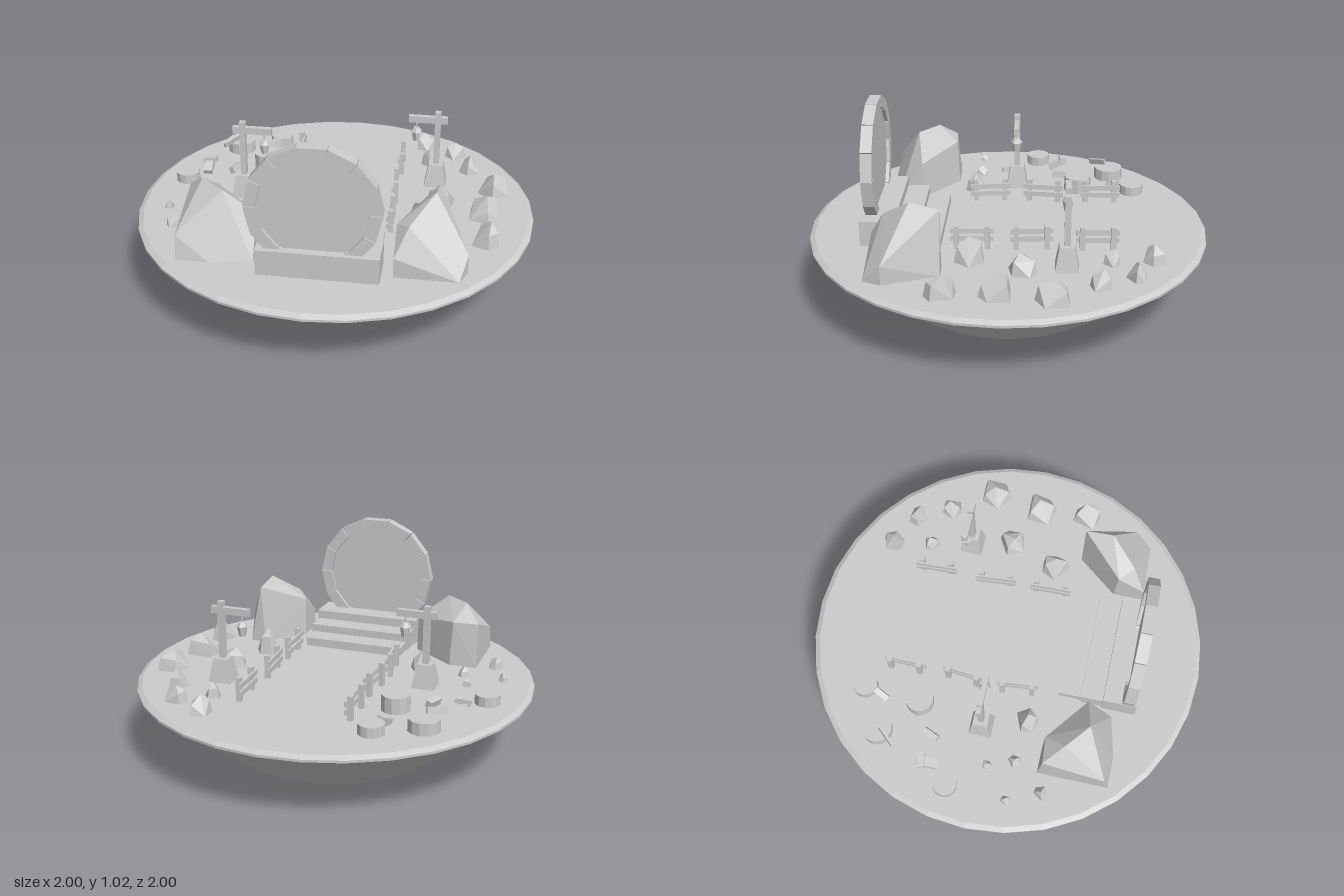
import * as THREE from 'three';
import { ConvexGeometry } from 'three/addons/geometries/ConvexGeometry.js';

const GROUND = 0.37;
const mat = new THREE.MeshStandardMaterial({ color: 0xcccccc, flatShading: true });
const openMat = new THREE.MeshStandardMaterial({ color: 0xcccccc, flatShading: true, side: THREE.DoubleSide });

function add(parent, name, geometry, x = 0, y = 0, z = 0, material = mat) {
  const mesh = new THREE.Mesh(geometry, material);
  mesh.name = name;
  mesh.position.set(x, y, z);
  parent.add(mesh);
  return mesh;
}
const box = (w, h, d) => new THREE.BoxGeometry(w, h, d);
const hull = (pts) => new ConvexGeometry(pts.map((p) => new THREE.Vector3(...p)));
const lathe = (pts, sides) => new THREE.LatheGeometry(pts.map((p) => new THREE.Vector2(...p)), sides);

// Small repeatable random numbers for the loose rocks
let seed = 7;
function rand(a, b) {
  seed = (seed * 16807) % 2147483647;
  return a + (b - a) * (seed / 2147483647);
}

// Faceted stone: wide base ring, narrower shoulder ring and an off-centre peak
function stone(r, h) {
  const pts = [];
  const turn = rand(0, 6);
  for (let i = 0; i < 5; i++) {
    const a = turn + (i / 5) * Math.PI * 2 + rand(-0.25, 0.25);
    const k = r * rand(0.85, 1.1);
    pts.push([k * Math.cos(a), 0, k * Math.sin(a)]);
    if (i % 2 === 0) pts.push([k * 0.8 * Math.cos(a), h * rand(0.5, 0.75), k * 0.8 * Math.sin(a)]);
  }
  pts.push([r * rand(-0.25, 0.25), h, r * rand(-0.25, 0.25)]);
  return hull(pts);
}

// Fence panel: two rails along z with posts on the outer side
function fence(parent, x, z, side, turn) {
  const g = new THREE.Group();
  g.name = 'fence';
  g.position.set(x, GROUND, z);
  g.rotation.y = turn;
  for (const y of [0.045, 0.085]) add(g, 'fenceRail', box(0.01, 0.026, 0.21), 0, y, 0);
  for (const pz of [-0.075, 0.075]) add(g, 'fencePost', box(0.025, 0.12, 0.026), side * 0.016, 0.06, pz);
  parent.add(g);
}

// Lamp post: tapered stone foot, post, arm and hanging lantern; dir points the arm along x
function lampPost(parent, x, z, dir) {
  const g = new THREE.Group();
  g.name = 'lampPost';
  g.position.set(x, GROUND, z);
  const foot = new THREE.CylinderGeometry(0.052, 0.08, 0.12, 4).rotateY(Math.PI / 4);
  add(g, 'lampFoot', foot, 0, 0.06, 0);
  add(g, 'lampPole', box(0.03, 0.4, 0.03), 0, 0.21, 0);
  add(g, 'lampArm', box(0.2, 0.035, 0.026), dir * 0.05, 0.365, 0);
  add(g, 'lanternHook', box(0.008, 0.05, 0.008), dir * 0.11, 0.33, 0);
  add(g, 'lanternCap', new THREE.CylinderGeometry(0.016, 0.031, 0.022, 6), dir * 0.11, 0.305, 0);
  add(g, 'lanternBody', new THREE.CylinderGeometry(0.026, 0.017, 0.05, 6), dir * 0.11, 0.269, 0);
  parent.add(g);
}

export function createModel() {
  const model = new THREE.Group();
  model.name = 'islandWithPortal';

  // Island: open-bottomed tapering bowl with a bevelled rim and flat ground
  add(model, 'island', lathe([
    [0.532, 0], [0.97, 0.325], [1, 0.344], [1, 0.356], [0.975, GROUND], [0, GROUND],
  ], 32), 0, 0, 0, openMat);

  // Steps rising towards the portal: centre x, width, height, back z, front z
  const steps = [
    [0.02, 0.53, 0.045, 0.315, 0.43],
    [0.02, 0.55, 0.085, 0.427, 0.545],
    [0.02, 0.57, 0.13, 0.54, 0.71],
  ];
  for (const [x, w, h, z0, z1] of steps) {
    add(model, 'step', box(w, h, z1 - z0), x, GROUND + h / 2, (z0 + z1) / 2);
  }

  // Portal: ring of fourteen stone blocks around a thin disc
  const portal = new THREE.Group();
  portal.name = 'portal';
  portal.position.set(0, 0.71, 0.66);
  const n = 14, half = Math.PI / n - 0.006;
  for (let i = 0; i < n; i++) {
    const s = Math.sin(half), c = Math.cos(half);
    const shape = new THREE.Shape([[-0.257, -1], [-0.257, 1], [-0.315, 1], [-0.315, -1]]
      .map(([r, k]) => new THREE.Vector2(k * r * s, -r * c)));
    const block = new THREE.ExtrudeGeometry(shape, { depth: 0.056, bevelEnabled: false });
    block.translate(0, 0, -0.028);
    add(portal, 'portalBlock', block).rotation.z = (i / n) * Math.PI * 2;
  }
  const disc = new THREE.CylinderGeometry(0.265, 0.265, 0.02, 28).rotateX(Math.PI / 2);
  add(portal, 'portalDisc', disc);
  model.add(portal);

  // Two boulders flanking the portal
  add(model, 'rightBoulder', hull([
    [-0.66, GROUND, 0.29], [-0.66, GROUND, 0.645], [-0.5, GROUND, 0.645], [-0.3, GROUND, 0.6],
    [-0.3, GROUND, 0.46], [-0.52, GROUND, 0.29], [-0.66, 0.6, 0.31], [-0.575, 0.68, 0.4],
    [-0.455, 0.68, 0.5], [-0.3, 0.555, 0.47], [-0.66, 0.49, 0.62], [-0.53, 0.6, 0.3],
  ]));
  add(model, 'leftBoulder', hull([
    [0.36, GROUND, 0.64], [0.36, GROUND, 0.49], [0.52, GROUND, 0.29], [0.6, GROUND, 0.29],
    [0.695, GROUND, 0.55], [0.66, GROUND, 0.64], [0.36, 0.57, 0.5], [0.42, 0.6, 0.57],
    [0.36, 0.47, 0.64], [0.53, 0.71, 0.43], [0.54, 0.68, 0.29], [0.695, 0.465, 0.55],
  ]));

  // Loose rocks: x, z, radius, height
  const rocks = [
    [0.41, -0.71, 0.058, 0.09], [0.58, -0.62, 0.055, 0.08], [0.44, -0.51, 0.045, 0.08],
    [0.66, -0.45, 0.06, 0.09], [0.8, -0.235, 0.085, 0.1], [0.535, -0.09, 0.08, 0.09],
    [0.755, 0.025, 0.09, 0.11], [0.435, 0.16, 0.075, 0.13], [0.775, 0.275, 0.08, 0.11],
    [-0.675, 0.04, 0.025, 0.04], [-0.825, 0.165, 0.026, 0.04], [-0.625, 0.17, 0.035, 0.05],
    [-0.41, 0.19, 0.062, 0.1], [-0.755, 0.33, 0.043, 0.06],
  ];
  for (const [x, z, r, h] of rocks) add(model, 'rock', stone(r, h), x, GROUND, z);

  // Fences along both sides of the path: x, centre z, outer side, turn
  const fences = [
    [-0.257, -0.475, -1, 0], [-0.255, -0.175, -1, -0.1], [-0.257, 0.105, -1, 0.1],
    [0.283, -0.445, 1, 0.04], [0.28, -0.125, 1, 0.08], [0.288, 0.165, 1, 0.03],
  ];
  for (const f of fences) fence(model, ...f);

  lampPost(model, -0.48, -0.03, 1);
  lampPost(model, 0.488, -0.295, -1);

  // Tree stumps: x, z, radius, height
  const stumps = [
    [-0.615, -0.535, 0.077, 0.06], [-0.405, -0.65, 0.063, 0.05],
    [-0.43, -0.36, 0.071, 0.08], [-0.815, -0.14, 0.062, 0.05],
  ];
  for (const [x, z, r, h] of stumps) {
    add(model, 'stump', new THREE.CylinderGeometry(r, r, h, 12), x, GROUND + h / 2, z);
  }

  // Split firewood scattered between the stumps: x, y, z, size, rotation
  const wood = [
    [-0.655, 0.445, -0.475, [0.012, 0.03, 0.11], [0.3, -0.7, 0]],
    [-0.435, 0.395, -0.56, [0.03, 0.045, 0.08], [0.4, -0.4, 0.4]],
    [-0.73, 0.4, -0.25, [0.045, 0.03, 0.1], [0.4, 0.05, 0]],
    [-0.73, 0.425, -0.28, [0.075, 0.025, 0.035], [0, 0.1, 0.1]],
    [-0.585, 0.39, -0.265, [0.03, 0.035, 0.08], [0, -0.4, 0.3]],
  ];
  for (const [x, y, z, size, rot] of wood) {
    add(model, 'firewood', box(...size), x, y, z).rotation.set(...rot);
  }
  return model;
}
